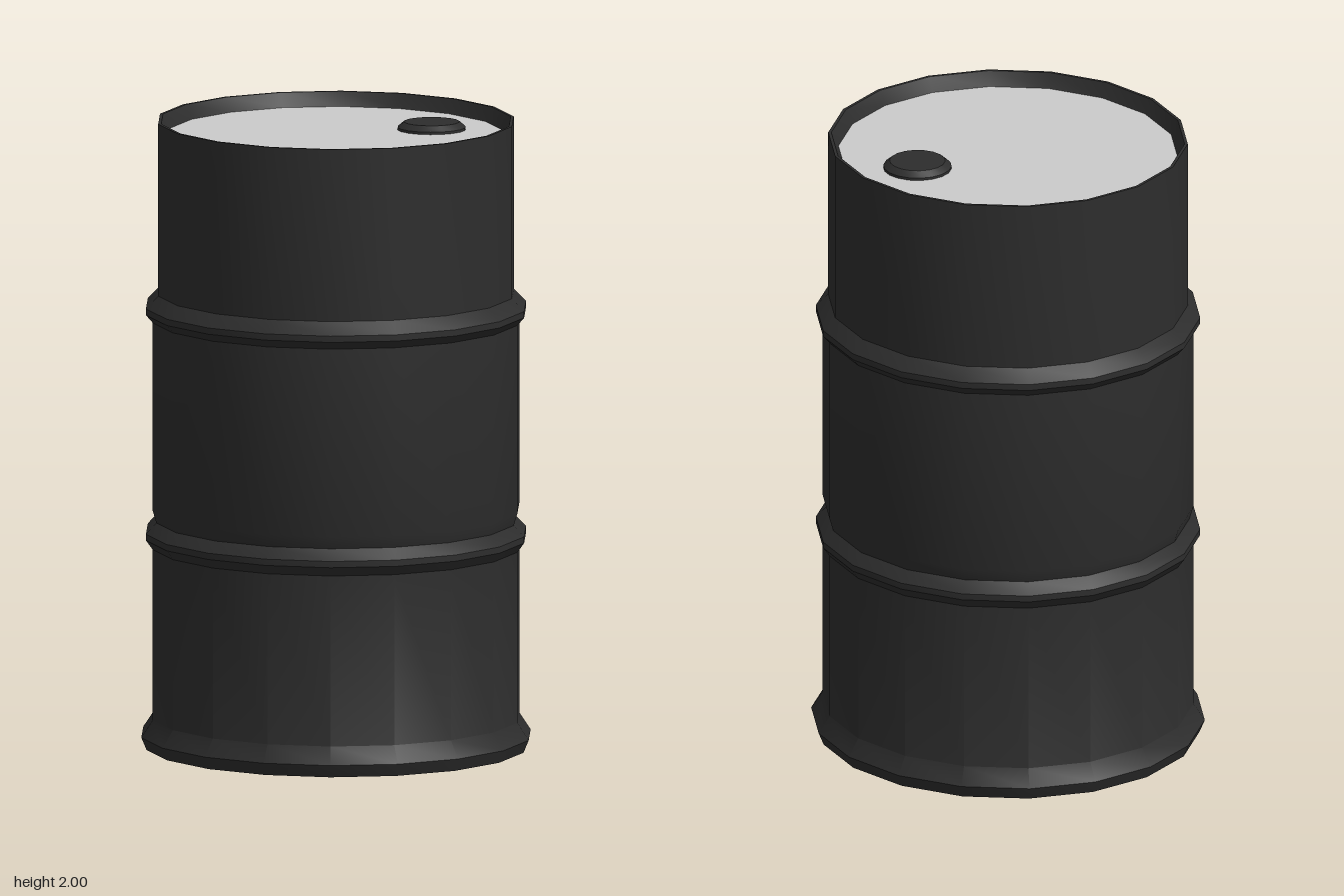
import * as THREE from 'three';
import { toCreasedNormals } from 'three/addons/utils/BufferGeometryUtils.js';

const SIDES = 18;
const X_SCALE = 0.975; // the drum is slightly oval

// Revolve a [radius, y] profile, keeping sharp profile edges creased
function revolve(name, profile, sides, material) {
  const points = profile.map(([r, y]) => new THREE.Vector2(r, y));
  const geometry = toCreasedNormals(new THREE.LatheGeometry(points, sides), 0.6);
  const mesh = new THREE.Mesh(geometry, material);
  mesh.name = name;
  return mesh;
}

export function createModel() {
  const model = new THREE.Group();
  model.name = 'drum';
  const dark = new THREE.MeshStandardMaterial({ color: 0x2d2d2d });
  const grey = new THREE.MeshStandardMaterial({ color: 0xcccccc });

  // Shell: base, flared foot, two rolling hoops, rim and inner lip
  const shell = revolve('shell', [
    [0, 0], [0.618, 0], [0.635, 0.04], [0.598, 0.095],
    [0.598, 0.64], [0.62, 0.67], [0.62, 0.69], [0.586, 0.725], [0.598, 0.765],
    [0.598, 1.365], [0.62, 1.39], [0.62, 1.41], [0.58, 1.45],
    [0.58, 2], [0.57, 2], [0.547, 1.955],
  ], SIDES, dark);
  shell.scale.x = X_SCALE;
  model.add(shell);

  // Recessed lid
  const lid = revolve('lid', [[0.547, 1.955], [0, 1.955]], SIDES, grey);
  lid.scale.x = X_SCALE;
  model.add(lid);

  // Bung plug with a bevelled edge
  const plug = revolve('plug', [[0.108, 1.95], [0.108, 1.963], [0.088, 1.98], [0, 1.98]], 18, dark);
  plug.position.x = 0.317;
  model.add(plug);

  return model;
}
